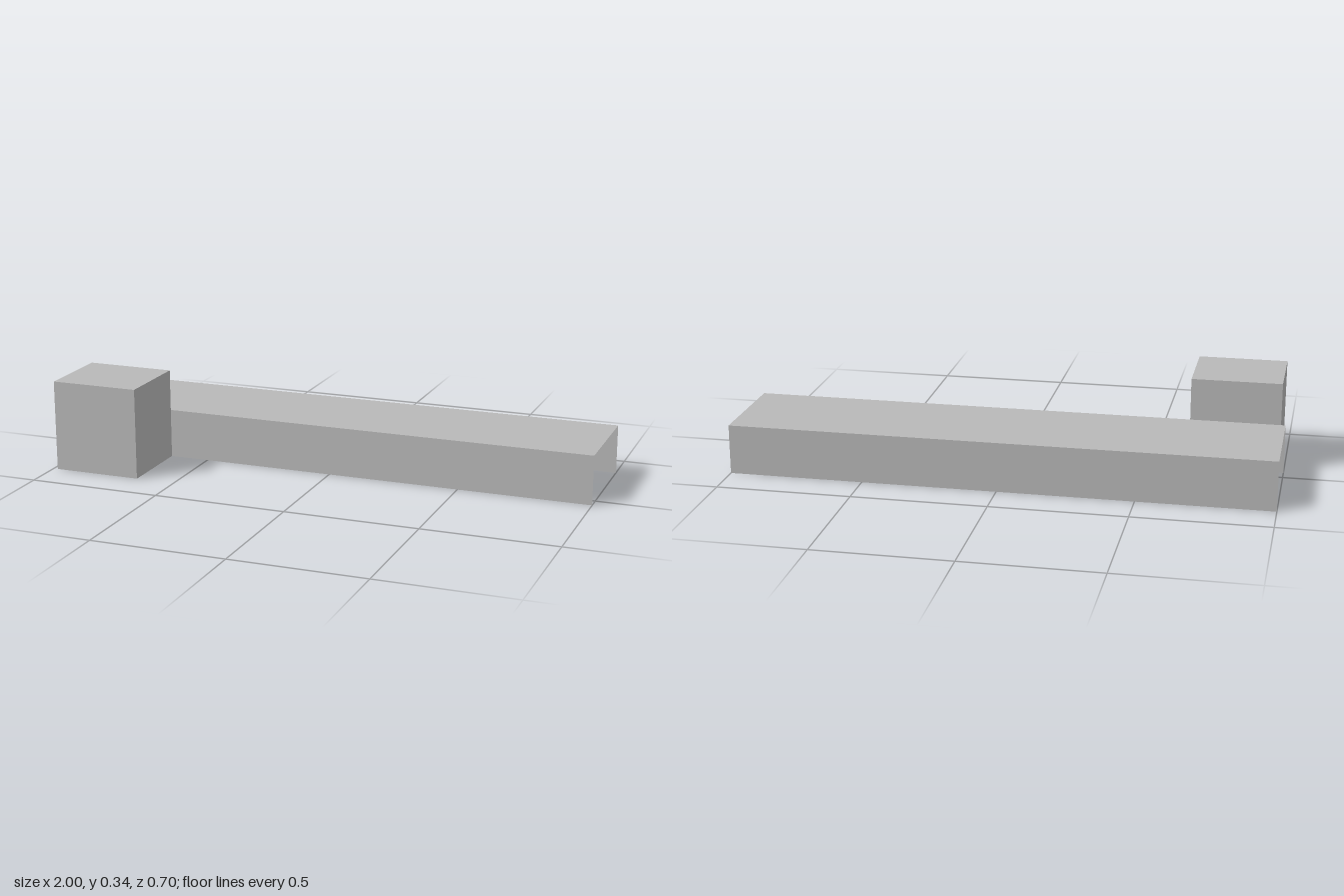
import * as THREE from 'three';

export function createModel() {
  const model = new THREE.Group();
  const grey = new THREE.MeshStandardMaterial({ color: 0xb8b8b8, side: THREE.DoubleSide });
  grey.name = 'light grey';

  const back = -0.35, join = 0.05, front = 0.35; // depth lines
  const low = 0.185, high = 0.342; // roof heights
  const left = -0.983, right = -0.65; // sides of the porch

  // Thin rectangular sheet facing along one axis, spanning two ranges on the others
  function sheet(parent, name, axis, at, [a0, a1], [b0, b1]) {
    const geometry = new THREE.PlaneGeometry(a1 - a0, b1 - b0);
    const mesh = new THREE.Mesh(geometry, grey);
    const a = (a0 + a1) / 2, b = (b0 + b1) / 2;
    if (axis === 'x') { // a = z, b = y
      geometry.rotateY(Math.PI / 2);
      mesh.position.set(at, b, a);
    } else if (axis === 'y') { // a = x, b = z
      geometry.rotateX(-Math.PI / 2);
      mesh.position.set(a, at, b);
    } else { // a = x, b = y
      mesh.position.set(a, b, at);
    }
    mesh.name = name;
    parent.add(mesh);
  }

  // Long hall: roof and two walls, open at the ends and below
  const hall = new THREE.Group();
  hall.name = 'hall';
  sheet(hall, 'hallRoof', 'y', low, [-1, 1], [back, join]);
  sheet(hall, 'hallBackWall', 'z', back, [-1, 1], [0, low]);
  // The front wall is interrupted where the porch opens into the hall
  sheet(hall, 'hallFrontWall', 'z', join, [right, 1], [0, low]);
  sheet(hall, 'hallFrontWallEnd', 'z', join, [-1, left], [0, low]);

  // Taller porch: open below and towards the hall under its roof
  const porch = new THREE.Group();
  porch.name = 'porch';
  sheet(porch, 'porchRoof', 'y', high, [left, right], [join, front]);
  sheet(porch, 'porchFrontWall', 'z', front, [left, right], [0, high]);
  sheet(porch, 'porchBackWall', 'z', join, [left, right], [low, high]);
  for (const x of [left, right]) sheet(porch, 'porchSideWall', 'x', x, [join, front], [0, high]);

  model.add(hall, porch);
  return model;
}
